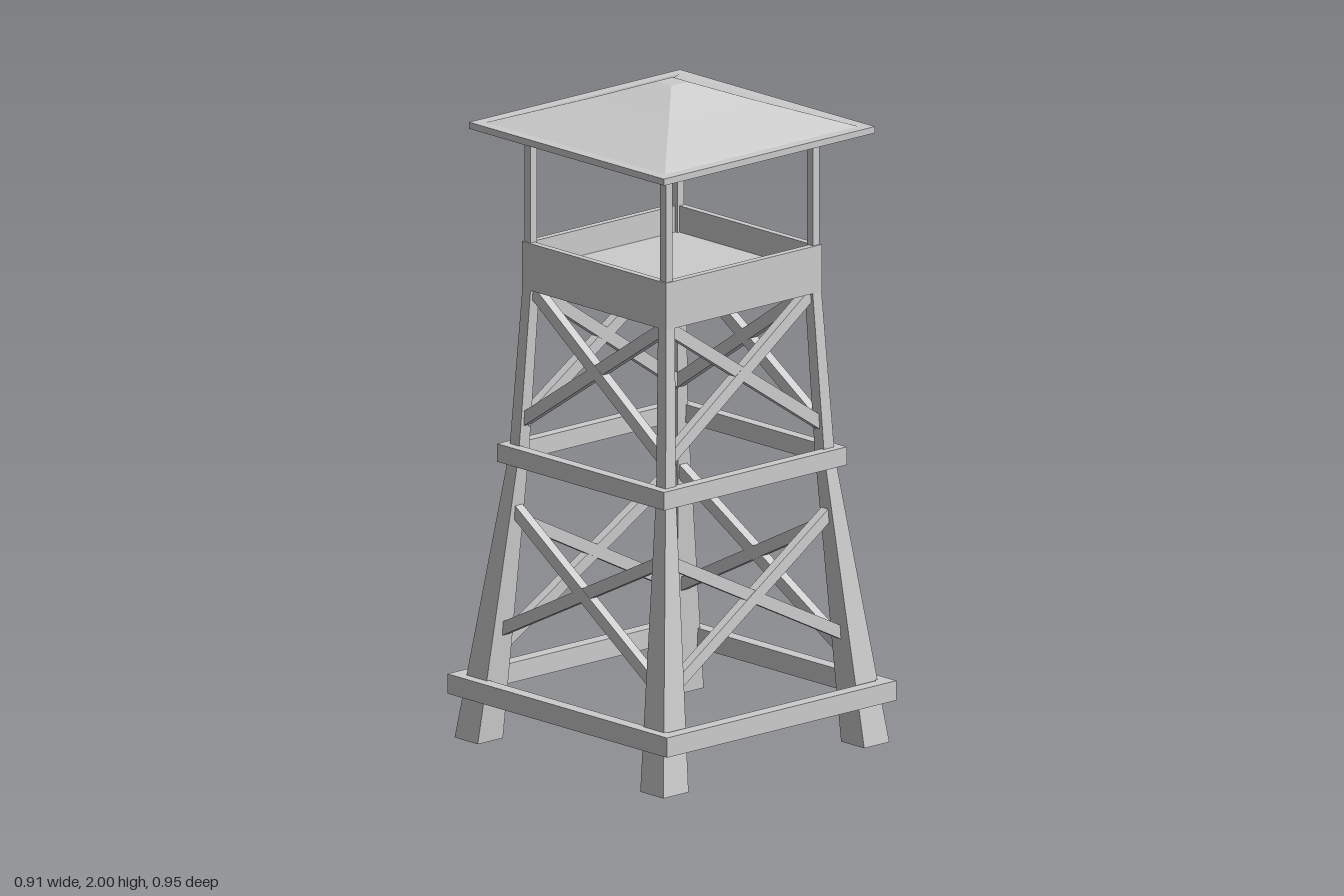
import * as THREE from 'three';

const material = new THREE.MeshStandardMaterial({ color: 0xcccccc, flatShading: true });

function add(parent, name, geometry) {
  const mesh = new THREE.Mesh(geometry, material);
  mesh.name = name;
  parent.add(mesh);
  return mesh;
}

function addGroup(parent, name) {
  const group = new THREE.Group();
  group.name = name;
  parent.add(group);
  return group;
}

// Box given by its lower and upper corners
function addBox(parent, name, [x0, y0, z0], [x1, y1, z1]) {
  const geometry = new THREE.BoxGeometry(x1 - x0, y1 - y0, z1 - z0);
  geometry.translate((x0 + x1) / 2, (y0 + y1) / 2, (z0 + z1) / 2);
  return add(parent, name, geometry);
}

// Square frame of four beams with outer half sizes hx, hz and beam thickness t
function addFrame(parent, name, hx, hz, y0, y1, t) {
  const frame = addGroup(parent, name);
  for (const s of [-1, 1]) {
    const z = s * (hz - t / 2), x = s * (hx - t / 2);
    addBox(frame, name + 'Beam', [-hx, y0, z - t / 2], [hx, y1, z + t / 2]);
    addBox(frame, name + 'Beam', [x - t / 2, y0, t - hz], [x + t / 2, y1, hz - t]);
  }
}

// Square bar between two points, its depth axis kept near the outward direction
function addBar(parent, name, a, b, width, depth, outward) {
  const along = b.clone().sub(a);
  const mesh = add(parent, name, new THREE.BoxGeometry(width, along.length(), depth));
  const y = along.normalize();
  const x = y.clone().cross(outward).normalize();
  const z = x.clone().cross(y);
  mesh.quaternion.setFromRotationMatrix(new THREE.Matrix4().makeBasis(x, y, z));
  mesh.position.copy(a).add(b).multiplyScalar(0.5);
}

// Tapered leg that leans inward, with a kink at the middle frame
function legGeometry(sx, sz) {
  const levels = [[0, 0.35, 0.45], [0.87, 0.296, 0.337], [1.38, 0.274, 0.309]];
  const geometry = new THREE.BoxGeometry(1, 2, 1, 1, 2, 1);
  const p = geometry.attributes.position;
  for (let i = 0; i < p.count; i++) {
    const [y, inner, outer] = levels[Math.round(p.getY(i)) + 1];
    const x = p.getX(i) * sx > 0 ? outer : inner;
    const z = p.getZ(i) * sz > 0 ? outer : inner;
    p.setXYZ(i, sx * x, y, sz * z);
  }
  geometry.computeVertexNormals();
  return geometry;
}

export function createModel() {
  const tower = new THREE.Group();
  tower.name = 'watchtower';

  // Legs and roof posts at the four corners
  for (const sx of [-1, 1]) for (const sz of [-1, 1]) {
    add(tower, 'leg', legGeometry(sx, sz));
    const x = sx * 0.292, z = sz * 0.292, h = 0.013;
    addBox(tower, 'roofPost', [x - h, 1.38, z - h], [x + h, 1.86, z + h]);
  }

  // Horizontal frames around the legs
  addFrame(tower, 'lowerFrame', 0.457, 0.473, 0.13, 0.19, 0.041);
  addFrame(tower, 'middleFrame', 0.364, 0.36, 0.84, 0.895, 0.035);

  // Crossed braces: [side start, y start, side end, y end, inset start, inset end]
  const braces = [
    [-0.34, 0.29, 0.32, 0.70, 0.358, 0.327],
    [-0.325, 0.672, 0.345, 0.333, 0.327, 0.356],
    [-0.31, 0.965, 0.285, 1.365, 0.305, 0.285],
    [0.31, 0.965, -0.285, 1.365, 0.305, 0.285],
  ];
  for (const s of [-1, 1]) {
    const front = addGroup(tower, s > 0 ? 'frontBraces' : 'backBraces');
    const side = addGroup(tower, s > 0 ? 'leftBraces' : 'rightBraces');
    for (const [u0, y0, u1, y1, d0, d1] of braces) {
      addBar(front, 'brace', new THREE.Vector3(u0, y0, s * d0), new THREE.Vector3(u1, y1, s * d1),
        0.037, 0.03, new THREE.Vector3(0, 0, s));
      addBar(side, 'brace', new THREE.Vector3(s * d0, y0, -u0), new THREE.Vector3(s * d1, y1, -u1),
        0.037, 0.03, new THREE.Vector3(s, 0, 0));
    }
  }

  // Lookout platform: floor and parapet
  addBox(tower, 'platformFloor', [-0.3, 1.37, -0.3], [0.3, 1.43, 0.3]);
  addFrame(tower, 'parapet', 0.31, 0.31, 1.367, 1.51, 0.022);

  // Four-sided roof with eave slab, two slopes and a small flat top
  const profile = [[0, 1.85], [0.42, 1.85], [0.42, 1.87], [0.385, 1.87], [0.17, 1.947], [0.034, 2], [0, 2]]
    .map(([half, y]) => new THREE.Vector2(half * Math.SQRT2, y));
  const roof = new THREE.LatheGeometry(profile, 4, Math.PI / 4).toNonIndexed();
  roof.computeVertexNormals();
  add(tower, 'roof', roof);

  return tower;
}
